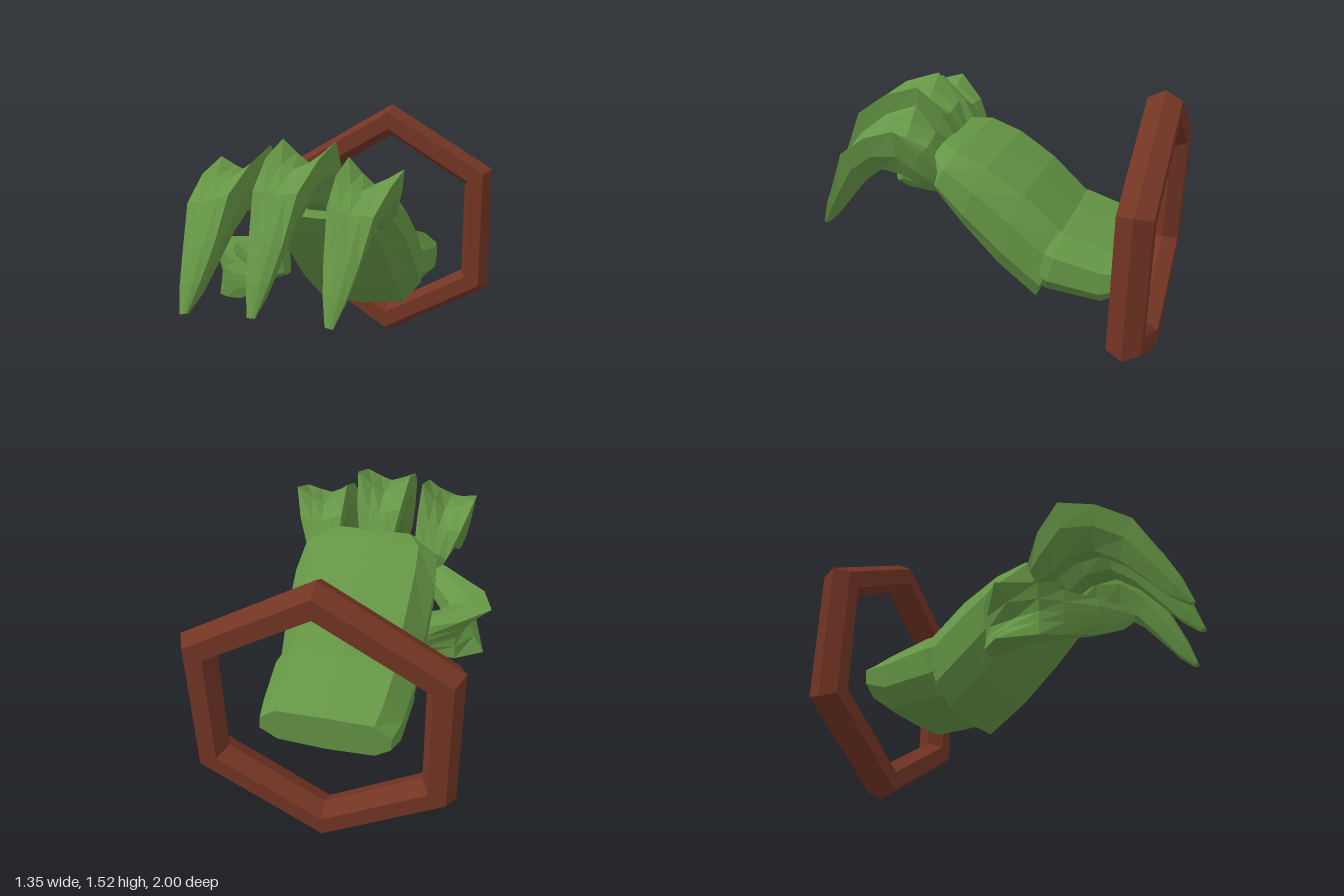
import * as THREE from 'three';

const mat = (name, color) => {
  const m = new THREE.MeshStandardMaterial({ color, flatShading: true });
  m.name = name;
  return m;
};

// Turn all faces outward using the signed volume
function faceOutward(g) {
  const pos = g.attributes.position, ix = g.index.array;
  const p = (i) => new THREE.Vector3().fromBufferAttribute(pos, ix[i]);
  let volume = 0;
  for (let i = 0; i < ix.length; i += 3) volume += p(i).dot(p(i + 1).cross(p(i + 2)));
  if (volume < 0) ix.reverse();
  g.computeVertexNormals();
  return g;
}

// Skin over sections; each has a dorsal point, a ventral point, a half-width vector and a profile
function loft(sections) {
  const pos = [], idx = [], n = sections[0].profile.length;
  for (const { d, v, w, profile } of sections) {
    for (const [a, b] of profile) {
      for (let k = 0; k < 3; k++) pos.push((d[k] + v[k]) / 2 + w[k] * a + ((d[k] - v[k]) / 2) * b);
    }
  }
  const last = sections.length - 1;
  for (let s = 0; s < last; s++) {
    for (let i = 0; i < n; i++) {
      const a = s * n + i, b = s * n + ((i + 1) % n);
      idx.push(a, b, b + n, a, b + n, a + n);
    }
  }
  // End caps
  for (const s of [0, last]) {
    const c = pos.length / 3, { d, v } = sections[s];
    for (let k = 0; k < 3; k++) pos.push((d[k] + v[k]) / 2);
    for (let i = 0; i < n; i++) {
      const a = s * n + i, b = s * n + ((i + 1) % n);
      if (s === 0) idx.push(c, b, a); else idx.push(c, a, b);
    }
  }
  const g = new THREE.BufferGeometry();
  g.setAttribute('position', new THREE.Float32BufferAttribute(pos, 3));
  g.setIndex(idx);
  return faceOutward(g);
}

// Rounded slab for palm and wrist
const slab = [[-0.74, 0.95], [0, 1], [0.74, 0.95], [0.98, 0.4], [1, -0.3], [0.74, -0.85],
  [0, -1], [-0.74, -0.92], [-0.98, -0.4], [-1, 0.35]];
// Finger outline: positive g cuts a groove between two ridges, negative g rounds the back
const grooved = (g) => {
  const [ridge, mid, centre] = g < 0 ? [1 + 1.5 * g, 1 + 0.2 * g, 1] : [1, 1 - 0.6 * g, 1 - g];
  return [[-1, ridge], [-0.45, mid], [0, centre], [0.45, mid], [1, ridge],
    [0.92, 0], [0.45, -1], [-0.45, -1], [-0.92, 0]];
};

export function createModel() {
  const group = new THREE.Group();
  const green = mat('green skin', 0x659645);
  const brown = mat('brown frame', 0x733524);
  const add = (name, geometry, material) => {
    const m = new THREE.Mesh(geometry, material);
    m.name = name;
    group.add(m);
    return m;
  };

  // Hexagonal frame with a hexagonal bar section
  const bar = [[0.762, 0], [0.716, 0.085], [0.612, 0.085], [0.566, 0], [0.612, -0.085], [0.716, -0.085], [0.762, 0]];
  const frame = new THREE.LatheGeometry(bar.map(([r, h]) => new THREE.Vector2(r, h)), 6);
  frame.rotateX(Math.PI / 2);
  add('hexagonFrame', faceOutward(frame), brown).position.set(0.015, 0.765, -0.915);

  // Palm and wrist: top z, y; bottom z, y; half width
  const slabPart = (rows) => loft(rows.map(([tz, ty, bz, by, hw]) => (
    { d: [0.02, ty, tz], v: [0.02, by, bz], w: [hw, 0, 0], profile: slab })));
  add('palm', slabPart([
    [-0.52, 0.81, -0.36, 0.37, 0.36],
    [-0.3, 1.0, -0.15, 0.54, 0.38],
    [-0.1, 1.12, 0.05, 0.75, 0.387],
    [0.07, 1.18, 0.2, 0.92, 0.37],
    [0.17, 1.19, 0.27, 1.02, 0.28],
  ]), green);
  add('wrist', slabPart([
    [-0.4, 0.84, -0.36, 0.47, 0.35],
    [-0.52, 0.82, -0.42, 0.44, 0.375],
    [-0.74, 0.76, -0.72, 0.42, 0.36],
    [-0.87, 0.72, -0.86, 0.51, 0.335],
  ]), green);

  // Fingers: top z, y; bottom z, y; half width; groove
  const fingerRows = [
    [0.14, 1.16, 0.16, 1.04, 0.09, -0.2],
    [0.22, 1.3, 0.25, 1.06, 0.12, 0.25],
    [0.35, 1.44, 0.35, 1.13, 0.145, 0.75],
    [0.55, 1.37, 0.5, 1.14, 0.138, 0.45],
    [0.73, 1.24, 0.63, 1.04, 0.115, 0.12],
    [0.85, 1.02, 0.76, 0.89, 0.086, -0.2],
    [0.93, 0.85, 0.86, 0.77, 0.056, -0.25],
    [0.98, 0.7, 0.95, 0.69, 0.02, -0.2],
  ];
  // base, knuckle and tip x; z scale; tip y; y scale; roll slope; underside shift
  const fingers = [
    ['rightFinger', -0.31, -0.36, -0.37, 1.02, 0.68, 0.93, 0.25, 0.04],
    ['middleFinger', 0.0, 0.0, -0.02, 1, 0.7, 1, 0, 0],
    ['leftFinger', 0.31, 0.35, 0.32, 0.86, 0.66, 0.92, -0.15, -0.025],
  ];
  for (const [name, x0, x1, x2, sz, tipY, sy, roll, shift] of fingers) {
    const z = (t) => 0.2 + (t - 0.2) * sz;
    const y = (t) => tipY + (t - 0.7) * sy;
    add(name, loft(fingerRows.map(([tz, ty, bz, by, hw, g], i) => {
      const x = i < 2 ? x0 + ((x1 - x0) * i) / 2 : x1 + ((x2 - x1) * (i - 2)) / 5;
      const under = x + (shift * hw) / 0.145;
      return { d: [x, y(ty), z(tz)], v: [under, y(by), z(bz)], w: [hw, hw * roll, 0], profile: grooved(g) };
    })), green);
  }

  // Thumb: outer x, z; inner x, z; y; half height; groove
  const thumbRows = [
    [-0.34, -0.12, -0.28, 0.1, 0.69, 0.09, -0.1],
    [-0.51, -0.05, -0.37, 0.14, 0.68, 0.125, 0.25],
    [-0.66, 0.08, -0.42, 0.2, 0.675, 0.147, 0.95],
    [-0.6, 0.28, -0.4, 0.25, 0.675, 0.135, 0.3],
    [-0.5, 0.38, -0.37, 0.3, 0.685, 0.12, -0.05],
    [-0.36, 0.52, -0.28, 0.42, 0.71, 0.098, -0.2],
    [-0.22, 0.61, -0.19, 0.52, 0.745, 0.065, -0.2],
    [-0.14, 0.64, -0.13, 0.6, 0.775, 0.025, -0.2],
  ];
  add('thumb', loft(thumbRows.map(([ox, oz, nx, nz, y, hh, g]) => (
    { d: [ox, y, oz], v: [nx, y, nz], w: [-0.08 * hh, hh, 0], profile: grooved(g) }))), green);

  return group;
}
